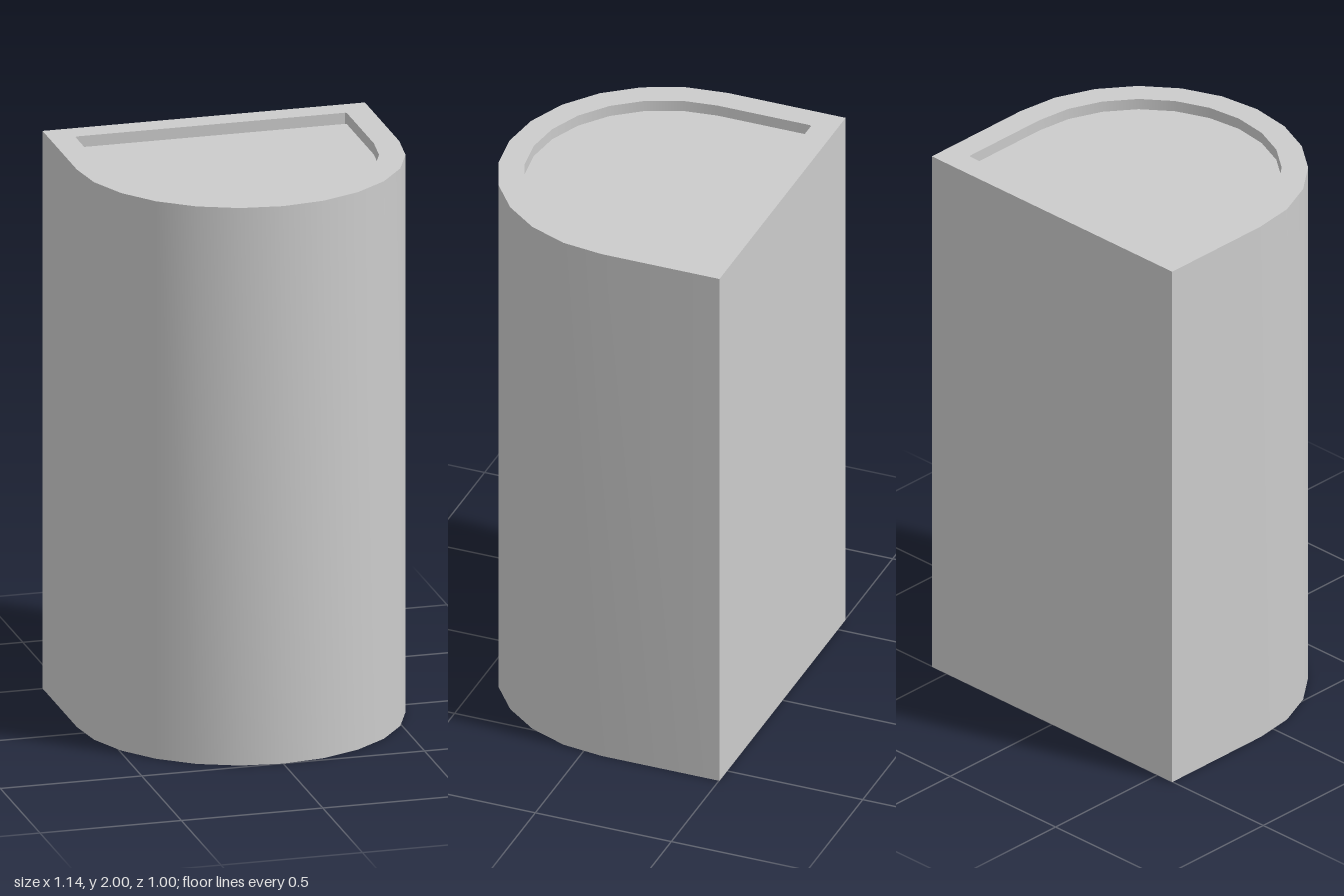
import * as THREE from 'three';
import { toCreasedNormals } from 'three/addons/utils/BufferGeometryUtils.js';

const HEIGHT = 2, RECESS = 0.04, ARC_Z = -0.068, SEGMENTS = 12;

// D-shaped outline (shape y = world z): square back, half-round front
function outline(radius, back, chamfer = 0) {
  const pts = [];
  for (let i = 0; i <= SEGMENTS; i++) {
    const a = (Math.PI * i) / SEGMENTS;
    pts.push(new THREE.Vector2(radius * Math.cos(a), ARC_Z + radius * Math.sin(a)));
  }
  if (chamfer) {
    pts.push(new THREE.Vector2(-radius, back + chamfer), new THREE.Vector2(-radius + chamfer, back));
    pts.push(new THREE.Vector2(radius - chamfer, back), new THREE.Vector2(radius, back + chamfer));
  } else {
    pts.push(new THREE.Vector2(-radius, back), new THREE.Vector2(radius, back));
  }
  return pts;
}

// Upright prism between two heights, smooth round the front and sharp at the edges
function prism(name, shape, bottom, top, material) {
  const geo = new THREE.ExtrudeGeometry(shape, { depth: top - bottom, bevelEnabled: false });
  geo.rotateX(Math.PI / 2).translate(0, top, 0);
  const mesh = new THREE.Mesh(toCreasedNormals(geo, 0.5), material);
  mesh.name = name;
  return mesh;
}

export function createModel() {
  const group = new THREE.Group();
  group.name = 'recessedColumn';
  const material = new THREE.MeshStandardMaterial({ color: 0xcccccc });

  // Outer wall, open at both ends
  const inner = outline(0.48, -0.413, 0.005);
  const wall = new THREE.Shape(outline(0.57, -0.502));
  wall.holes.push(new THREE.Path(inner));
  group.add(prism('outerWall', wall, 0, HEIGHT, material));

  // Core, sunk slightly below both rims
  group.add(prism('core', new THREE.Shape(inner), RECESS, HEIGHT - RECESS, material));

  return group;
}
